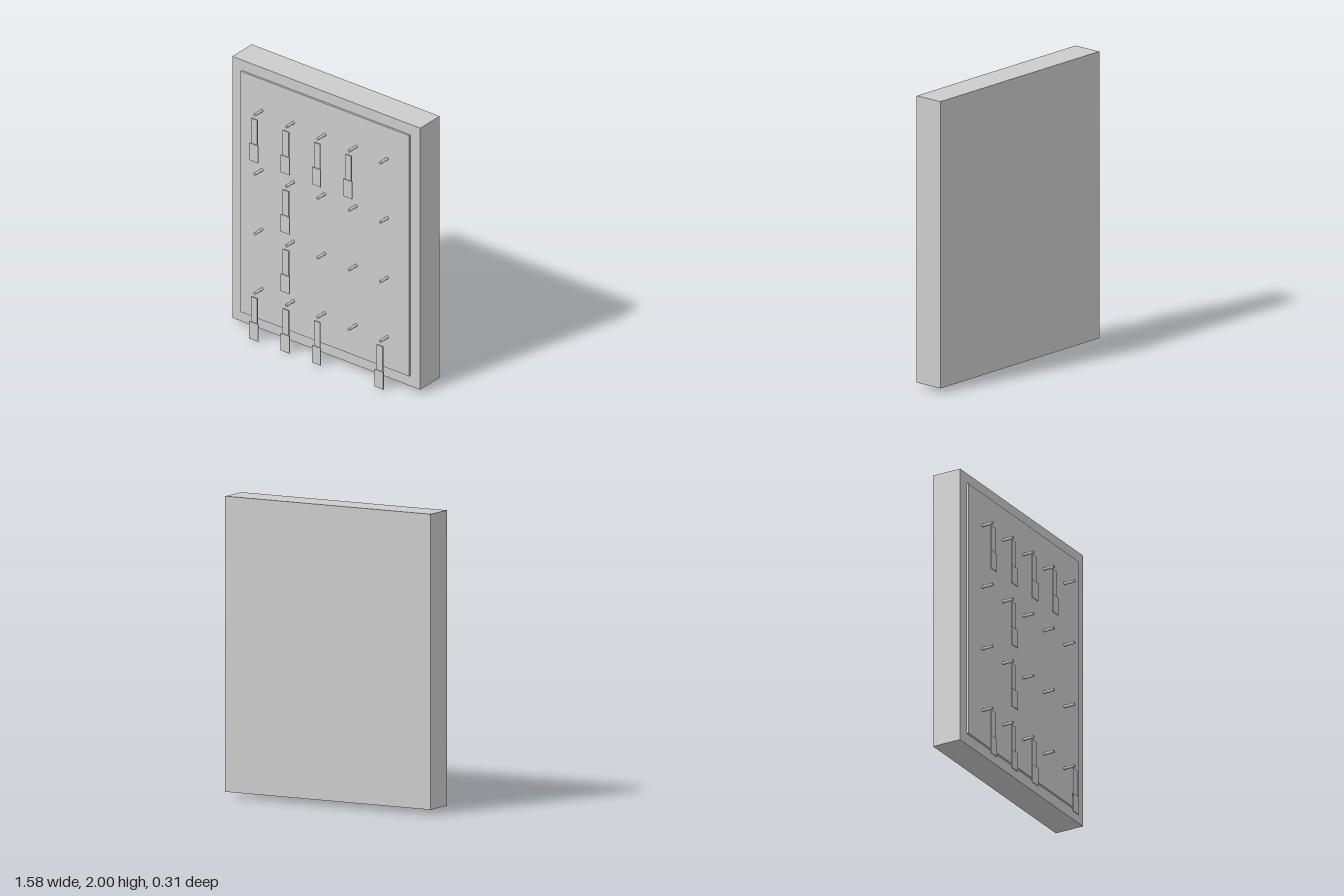
import * as THREE from 'three';

export function createModel() {
  const grey = new THREE.MeshStandardMaterial({ color: 0xcccccc });
  grey.name = 'light grey';
  const model = new THREE.Group();
  model.name = 'keyCabinet';

  const add = (parent, name, geometry, x, y, z) => {
    const mesh = new THREE.Mesh(geometry, grey);
    mesh.name = name;
    mesh.position.set(x, y, z);
    parent.add(mesh);
    return mesh;
  };

  // Cabinet body and raised front panel
  add(model, 'cabinetBody', new THREE.BoxGeometry(1.576, 1.968, 0.208), 0, 1.016, -0.053);
  add(model, 'frontPanel', new THREE.BoxGeometry(1.414, 1.812, 0.014), 0, 1.016, 0.058);

  // Grid of hooks; 1 marks a hook that carries a key
  const columns = [-0.527, -0.263, 0, 0.263, 0.525];
  const rows = [1.688, 1.241, 0.793, 0.345];
  const keys = ['11110', '01000', '01000', '11101'];
  const hookGeometry = new THREE.CylinderGeometry(0.01, 0.01, 0.08, 16).rotateX(Math.PI / 2);
  const shankGeometry = new THREE.BoxGeometry(0.05, 0.208, 0.01);
  const tagGeometry = new THREE.BoxGeometry(0.074, 0.13, 0.006);

  rows.forEach((y, r) => columns.forEach((x, c) => {
    add(model, 'hook', hookGeometry, x, y, 0.104);
    if (keys[r][c] !== '1') return;
    // Hanging key: narrow strap with a wider tag in front of its lower end
    const key = new THREE.Group();
    key.name = 'hangingKey';
    key.position.set(x, y, 0);
    add(key, 'keyStrap', shankGeometry, 0, -0.133, 0.146);
    add(key, 'keyTag', tagGeometry, 0, -0.28, 0.154);
    model.add(key);
  }));

  return model;
}
